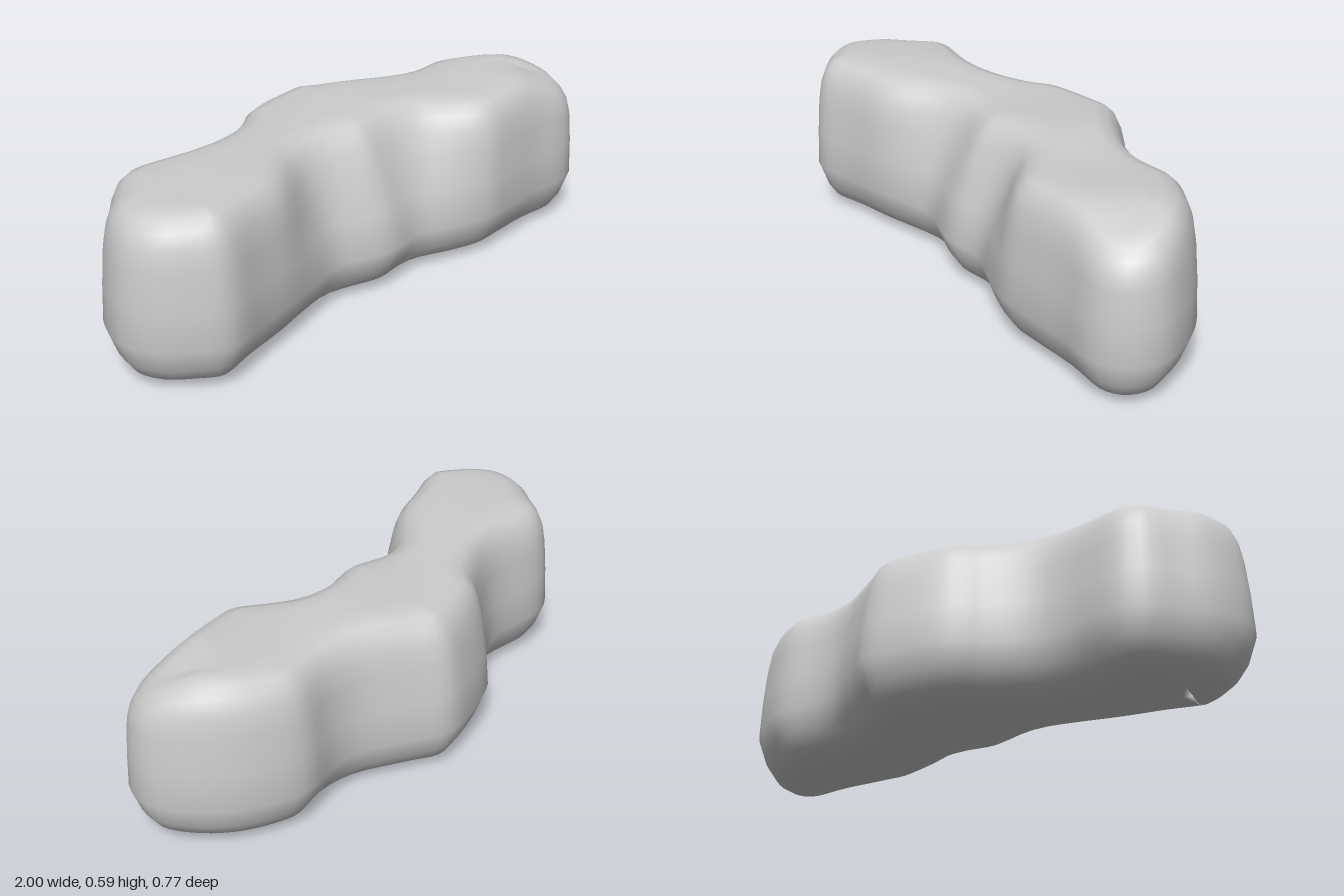
import * as THREE from 'three';
import { mergeVertices } from 'three/addons/utils/BufferGeometryUtils.js';

const smooth = THREE.MathUtils.smoothstep;

// Plan outline (x, z): along the back to +x, then along the front to -x
const OUTLINE = [
  [-1, .14], [-.965, 0], [-.88, -.1], [-.8, -.185], [-.71, -.213], [-.5, -.178], [-.41, -.185],
  [-.28, -.245], [-.18, -.325], [0, -.375], [.13, -.382], [.25, -.305], [.4, -.21], [.5, -.188],
  [.65, -.202], [.74, -.17], [.86, -.09], [.95, .02], [1, .15], [.968, .26], [.88, .32], [.7, .322],
  [.55, .335], [.43, .342], [.3, .31], [.16, .265], [0, .283], [-.2, .24], [-.3, .26],
  [-.45, .305], [-.6, .34], [-.77, .38], [-.87, .325], [-.955, .25],
];

// Wall profile: height and inset from the outline
const WALL = [
  [.006, .14], [.018, .1], [.042, .06], [.09, .028], [.17, 0], [.3, .006],
  [.42, .016], [.49, .028], [.54, .048], [.57, .078], [.584, .12],
];

// Centre line of the wide top and bottom faces
const SPINE = [[-.78, .09], [-.45, .06], [-.2, -.03], [.1, -.08], [.4, .05], [.78, .08]];
const STEP = .06;

// Nearest of the evenly spaced points on the centre line, shared by front and back
function spinePoint(x) {
  const cx = Math.round(THREE.MathUtils.clamp(x, -.78, .78) / STEP) * STEP;
  let k = 0;
  while (k < SPINE.length - 2 && cx > SPINE[k + 1][0]) k++;
  const [x0, z0] = SPINE[k], [x1, z1] = SPINE[k + 1];
  return [cx, z0 + (z1 - z0) * smooth(cx, x0, x1)];
}

// Uneven top: gentle waves and a droop at the front of the +x end
const relief = (x, z) =>
  .006 * Math.sin(x * 9 + z * 7) - .055 * smooth(x, .66, .92) * smooth(z, 0, .25);

function boulderGeometry() {
  const N = 120;
  const curve = new THREE.CatmullRomCurve3(
    OUTLINE.map(([x, z]) => new THREE.Vector3(x, 0, z)), true, 'centripetal');
  const plan = Array.from({ length: N }, (_, i) => {
    const p = curve.getPointAt(i / N);
    const a = curve.getPointAt((i / N + .99) % 1), b = curve.getPointAt((i / N + .01) % 1);
    const t = b.sub(a).normalize();
    return { x: p.x, z: p.z, nx: t.z, nz: -t.x };
  });

  // One ring of the wall; the middle leans inwards towards the top, mostly at the front
  const wallRing = ([y, inset]) => plan.map(({ x, z, nx, nz }) => {
    const middle = 1 - smooth(Math.abs(x), .15, .5);
    const d = inset + (z > 0 ? .1 : .02) * middle * smooth(y, .15, .6);
    const px = x - nx * d, pz = z - nz * d;
    return [px, y + smooth(y, .35, .58) * relief(px, pz), pz];
  });

  // Draw a ring in towards the centre line to close a face
  const capRing = (ring, f, level, wavy) => ring.map(([x, y, z]) => {
    const [sx, sz] = spinePoint(x);
    const sy = level + wavy * relief(sx, sz);
    return [x + (sx - x) * f, y + (sy - y) * f, z + (sz - z) * f];
  });

  const walls = WALL.map(wallRing);
  const bottom = walls[0], top = walls[walls.length - 1];
  const rings = [
    capRing(bottom, 1, .006, 1), capRing(bottom, .5, .006, 1), ...walls,
    capRing(top, .5, .585, 1), capRing(top, 1, .585, 1),
  ];

  const index = [];
  for (let j = 0; j < rings.length - 1; j++) {
    for (let i = 0; i < N; i++) {
      const k = (i + 1) % N;
      const a = j * N + i, b = j * N + k, c = a + N, d = b + N;
      index.push(a, c, b, b, c, d);
    }
  }
  const geo = new THREE.BufferGeometry();
  geo.setAttribute('position', new THREE.Float32BufferAttribute(rings.flat(2), 3));
  geo.setIndex(index);
  const welded = mergeVertices(geo, 1e-4);
  welded.computeVertexNormals();
  return welded;
}

export function createModel() {
  const group = new THREE.Group();
  group.name = 'rock';
  const body = new THREE.Mesh(
    boulderGeometry(), new THREE.MeshStandardMaterial({ color: 0xcccccc }));
  body.name = 'rockBody';
  group.add(body);
  return group;
}
